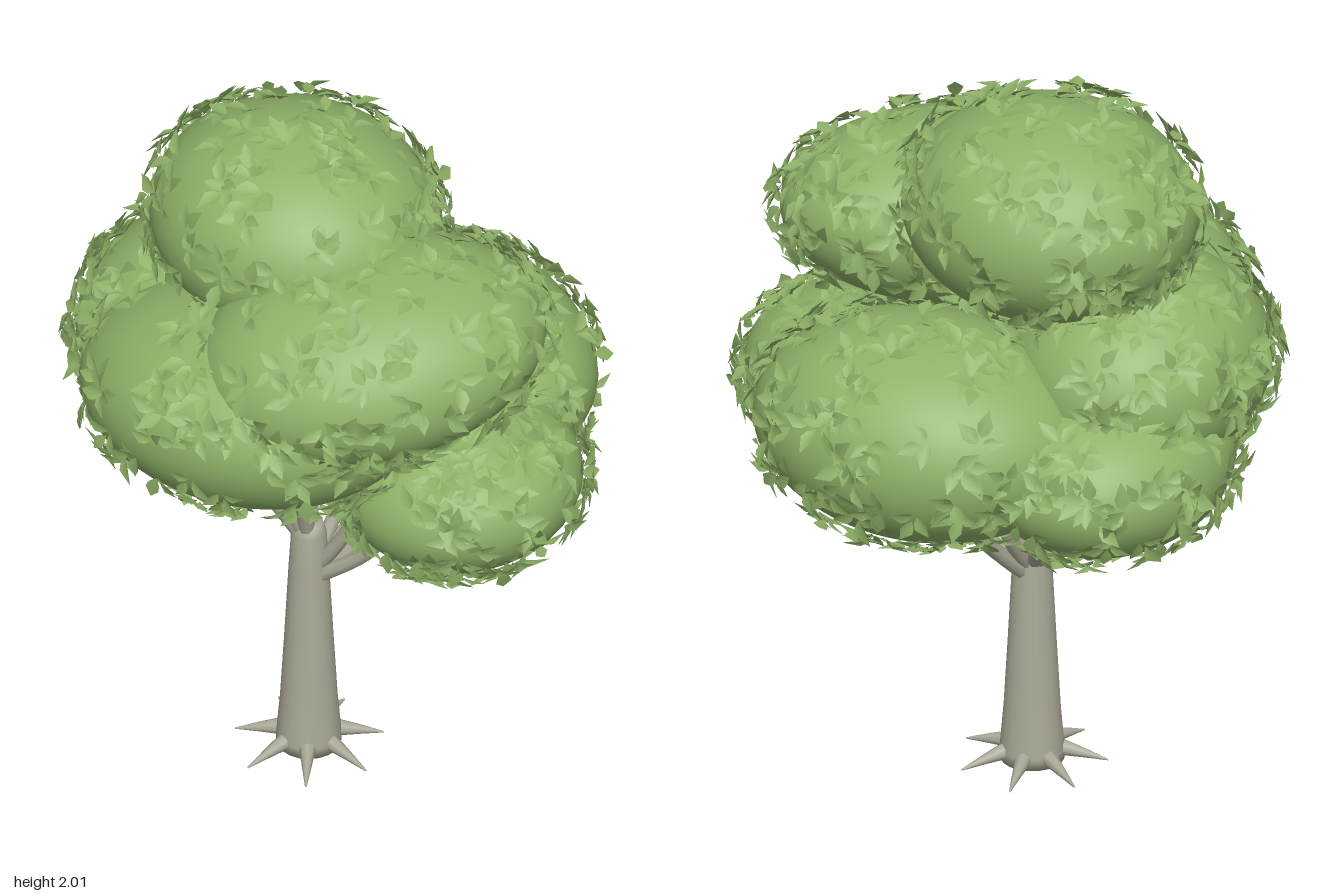
import * as THREE from 'three';
import { mergeGeometries } from 'three/addons/utils/BufferGeometryUtils.js';

const V = (x, y, z) => new THREE.Vector3(x, y, z);

// Small seeded random generator
function makeRandom(seed) {
  return () => {
    seed = (seed * 1664525 + 1013904223) % 4294967296;
    return seed / 4294967296;
  };
}

// Foliage masses: centre, radii, rotation
const MASSES = [
  { name: 'crownTop', c: [-0.12, 1.68, 0], r: [0.395, 0.285, 0.355], turn: [0, 0, 0] },
  { name: 'crownFrontLeft', c: [0.24, 1.52, 0.17], r: [0.46, 0.25, 0.34], turn: [0.2, 0.785, 0] },
  { name: 'crownFront', c: [-0.07, 1.31, 0.27], r: [0.48, 0.28, 0.38], turn: [-0.1, 0, 0.1] },
  { name: 'crownRight', c: [-0.36, 1.27, 0.04], r: [0.34, 0.28, 0.38], turn: [0, 0, 0] },
  { name: 'crownLowerLeft', c: [0.41, 1.07, 0.01], r: [0.32, 0.215, 0.32], turn: [0, 0, 0.1] },
  { name: 'crownBack', c: [0.1, 1.14, -0.31], r: [0.46, 0.29, 0.355], turn: [0, 0, 0] },
  { name: 'crownBackRight', c: [-0.35, 1.07, -0.15], r: [0.33, 0.23, 0.38], turn: [0, 0, 0] },
];

// Folded pointed leaf, base at the origin, growing along +z with +y as its upper side
function leafGeometry() {
  const outline = [[0, 0, 0], [0.014, 0.006, 0.015], [0.019, 0.008, 0.033], [0, -0.004, 0.07],
    [-0.019, 0.008, 0.033], [-0.014, 0.006, 0.015], [0, 0, 0.032]];
  const g = new THREE.BufferGeometry();
  g.setAttribute('position', new THREE.Float32BufferAttribute(outline.flat(), 3));
  const index = [];
  for (let i = 0; i < 6; i++) index.push(6, (i + 1) % 6, i);
  g.setIndex(index);
  g.computeVertexNormals();
  return g;
}

// Fanned sprigs of leaves scattered over the exposed skin of the foliage masses
function scatterLeaves(masses) {
  const rand = makeRandom(11);
  const leaf = leafGeometry();
  const leaves = [];
  const inverses = masses.map((m) => m.matrix.clone().invert());
  const basis = new THREE.Matrix4();
  masses.forEach((mass, k) => {
    const normalMatrix = new THREE.Matrix3().getNormalMatrix(mass.matrix);
    for (let i = 0; i < 210; i++) {
      const h = rand() * 2 - 1, a = rand() * Math.PI * 2, s = Math.sqrt(1 - h * h);
      const unit = V(s * Math.cos(a), h, s * Math.sin(a));
      const p = unit.clone().applyMatrix4(mass.matrix);
      const n = unit.clone().applyMatrix3(normalMatrix).normalize();
      const hidden = inverses.some((inv, j) => j !== k && p.clone().applyMatrix4(inv).length() < 0.98);
      if (hidden) continue;
      const side = V(n.z, 0, -n.x).normalize();
      const up = n.clone().cross(side);
      const turn = rand() * Math.PI * 2;
      for (let j = -1; j <= 1; j++) {
        const t = turn + j * 1.15 + (rand() - 0.5) * 0.6;
        const dir = side.clone().multiplyScalar(Math.cos(t)).addScaledVector(up, Math.sin(t))
          .addScaledVector(n, 0.05 + rand() * 0.45).normalize();
        const x = n.clone().cross(dir).normalize();
        const y = dir.clone().cross(x);
        const size = 0.8 + rand() * 0.35;
        basis.makeBasis(x, y, dir).scale(V(size, size, size));
        basis.setPosition(p.clone().addScaledVector(n, 0.006).addScaledVector(dir, j === 0 ? 0.02 : 0.004));
        leaves.push(leaf.clone().applyMatrix4(basis));
      }
    }
  });
  return mergeGeometries(leaves);
}

// Round limb through points, narrowing towards its end
function limbGeometry(points, r0, r1) {
  const rings = 10, sides = 8;
  const curve = new THREE.CatmullRomCurve3(points);
  const g = new THREE.TubeGeometry(curve, rings, 1, sides, false);
  const pos = g.attributes.position, v = V(0, 0, 0);
  for (let i = 0; i < pos.count; i++) {
    const t = Math.floor(i / (sides + 1)) / rings;
    const c = curve.getPointAt(t);
    v.fromBufferAttribute(pos, i).sub(c).multiplyScalar(r0 + (r1 - r0) * t).add(c);
    pos.setXYZ(i, v.x, v.y, v.z);
  }
  return g;
}

export function createModel() {
  const bark = new THREE.MeshStandardMaterial({ color: 0xaba997 });
  bark.name = 'bark';
  const foliage = new THREE.MeshStandardMaterial({ color: 0x8fb168 });
  foliage.name = 'foliage';
  const leafGreen = new THREE.MeshStandardMaterial({ color: 0x8fb168, side: THREE.DoubleSide });
  leafGreen.name = 'leaf green';

  const tree = new THREE.Group();
  tree.name = 'tree';
  const add = (name, geometry, material) => {
    const mesh = new THREE.Mesh(geometry, material);
    mesh.name = name;
    tree.add(mesh);
    return mesh;
  };
  const tx = -0.053, tz = 0.037;

  // Trunk
  const profile = [[0, 0.01], [0.085, 0.01], [0.085, 0.04], [0.075, 0.16], [0.064, 0.36],
    [0.053, 0.58], [0.046, 0.7], [0.036, 0.73], [0, 0.74]];
  add('trunk', new THREE.LatheGeometry(profile.map(([r, y]) => new THREE.Vector2(r, y)), 20), bark)
    .position.set(tx, 0, tz);

  // Roots
  for (let i = 0; i < 7; i++) {
    const a = (i / 7) * Math.PI * 2 + 0.1;
    const at = (r, y) => V(tx + r * Math.cos(a), y, tz + r * Math.sin(a));
    add('root', limbGeometry([at(0.05, 0.045), at(0.12, 0.028), at(0.198, 0.006)], 0.027, 0.002), bark);
  }

  // Branches: fork height, then tip position
  const branches = [
    [0.56, 0.24, 0.89, 0], [0.56, 0.18, 0.92, -0.12], [0.58, 0.12, 0.93, 0.02],
    [0.56, 0.04, 0.93, -0.22], [0.58, -0.03, 0.95, -0.17], [0.6, -0.27, 0.92, -0.1],
    [0.6, -0.19, 0.92, -0.17], [0.68, -0.26, 1.05, 0.1], [0.68, -0.2, 1.07, 0.14],
    [0.68, -0.12, 1.08, 0.13], [0.68, -0.02, 1.1, 0.13], [0.7, -0.05, 1.08, 0.02],
  ];
  for (const [y0, x, y, z] of branches) {
    const mid = V(tx + (x - tx) * 0.62, y0 + (y - y0) * 0.42, tz + (z - tz) * 0.62);
    add('branch', limbGeometry([V(tx, y0 - 0.02, tz), mid, V(x, y, z)], 0.024, 0.012), bark);
  }

  // Foliage masses
  const ball = new THREE.SphereGeometry(1, 40, 28);
  const masses = MASSES.map(({ name, c, r, turn }) => {
    const mesh = add(name, ball, foliage);
    mesh.position.set(...c);
    mesh.scale.set(...r);
    mesh.rotation.set(...turn);
    mesh.updateMatrix();
    return mesh;
  });

  // Leaves
  add('leaves', scatterLeaves(masses), leafGreen);
  return tree;
}
